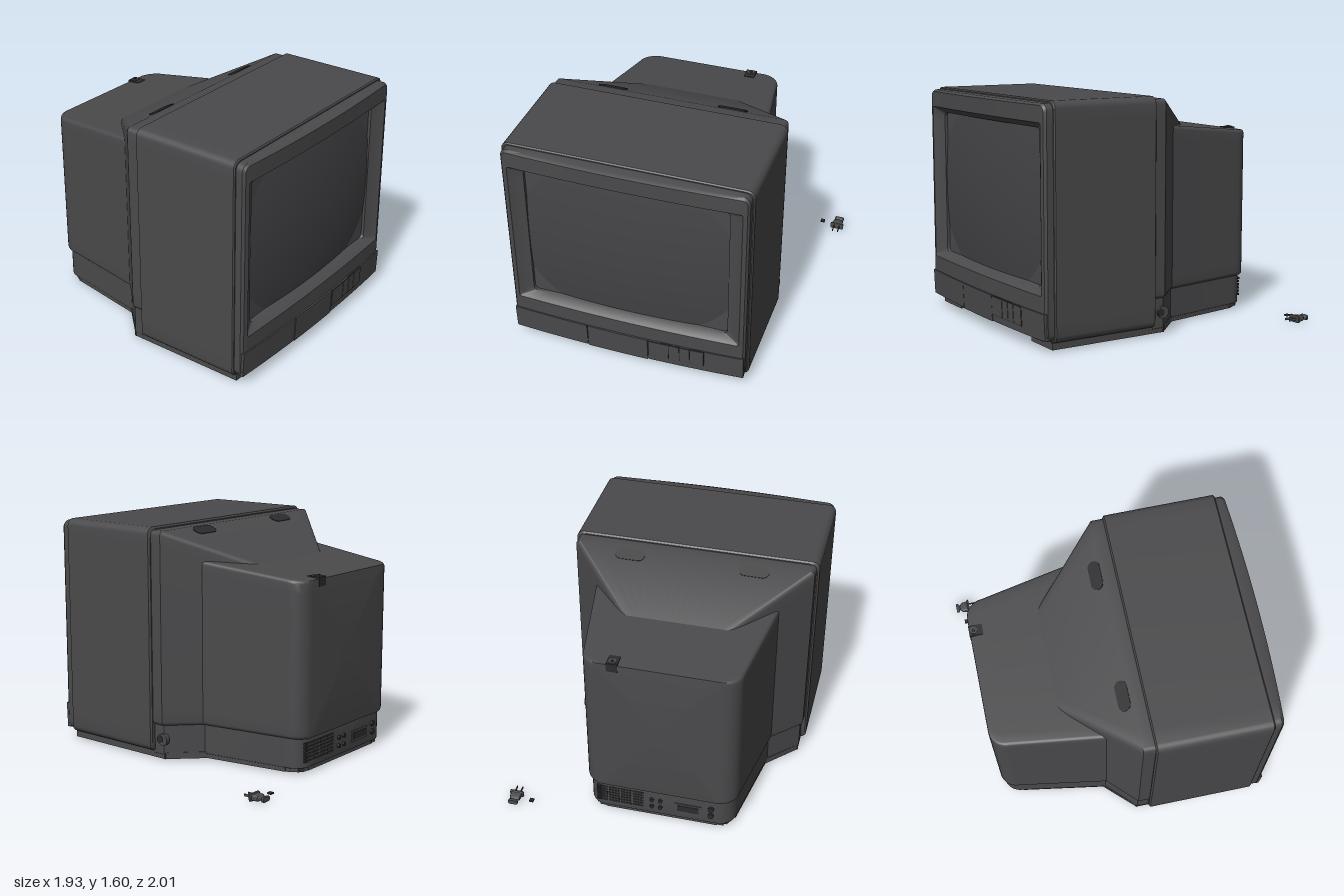
import * as THREE from 'three';
import { toCreasedNormals } from 'three/addons/utils/BufferGeometryUtils.js';

const CX = -0.12; // centre line of the set
const mat = (color) => new THREE.MeshStandardMaterial({ color, side: THREE.DoubleSide });
const casing = mat(0x4a4a4c), dark = mat(0x2c2c2e), glass = mat(0x444447);

// Rounded rectangle, anticlockwise, with subdivided straight sides
function ring(x0, x1, y0, y1, r, zAt) {
  const pts = [], corners = [[x1 - r, y0 + r, -90], [x1 - r, y1 - r, 0], [x0 + r, y1 - r, 90], [x0 + r, y0 + r, 180]];
  const arcs = corners.map(([cx, cy, a]) => Array.from({ length: 6 }, (_, k) => {
    const t = THREE.MathUtils.degToRad(a + k * 18);
    return [cx + r * Math.cos(t), cy + r * Math.sin(t)];
  }));
  arcs.forEach((arc, i) => {
    pts.push(...arc);
    const a = arc[5], b = arcs[(i + 1) % 4][0];
    for (let k = 1; k < 16; k++) pts.push([a[0] + (b[0] - a[0]) * k / 16, a[1] + (b[1] - a[1]) * k / 16]);
  });
  return pts.map(([x, y]) => [x, y, typeof zAt === 'function' ? zAt(x, y) : zAt]);
}

// Skin over rings ordered from back to front, with optional end caps
function loft(rings, capBack, capFront, crease = 0.6) {
  const n = rings[0].length, pos = rings.flat(2), idx = [];
  for (let i = 0; i < rings.length - 1; i++) for (let j = 0; j < n; j++) {
    const a = i * n + j, b = i * n + (j + 1) % n;
    idx.push(a, b, b + n, a, b + n, a + n);
  }
  const cap = (i, front) => {
    const c = pos.length / 3, m = [0, 0, 0];
    rings[i].forEach((p) => p.forEach((v, k) => { m[k] += v / n; }));
    pos.push(...m);
    for (let j = 0; j < n; j++) {
      const a = i * n + j, b = i * n + (j + 1) % n;
      idx.push(c, front ? a : b, front ? b : a);
    }
  };
  if (capBack) cap(0, false);
  if (capFront) cap(rings.length - 1, true);
  const g = new THREE.BufferGeometry();
  g.setAttribute('position', new THREE.Float32BufferAttribute(pos, 3));
  g.setIndex(idx);
  return toCreasedNormals(g, crease);
}

const bulge = (x) => 0.03 * (1 - ((x - CX) / 0.83) ** 2);
const hoodTop = (z) => 1.58 - Math.max(0, 0.05 - z) * 0.495;
const tubeTop = (z) => 1.38 + (z + 0.14) * 0.107;

export function createModel() {
  const root = new THREE.Group();
  const add = (name, geo, m = casing, x = 0, y = 0, z = 0) => {
    const mesh = new THREE.Mesh(geo, m);
    mesh.name = name;
    mesh.position.set(x, y, z);
    root.add(mesh);
    return mesh;
  };
  const box = (name, x0, x1, y0, y1, z0, z1, m) => add(name,
    new THREE.BoxGeometry(x1 - x0, y1 - y0, z1 - z0), m, (x0 + x1) / 2, (y0 + y1) / 2, (z0 + z1) / 2);
  const rod = (name, r, len, x, y, z, axis, m) => {
    const mesh = add(name, new THREE.CylinderGeometry(r, r, len, 20), m, x, y, z);
    if (axis === 'z') mesh.rotation.x = Math.PI / 2;
    if (axis === 'x') mesh.rotation.z = Math.PI / 2;
    return mesh;
  };

  // Main cabinet
  add('cabinet', loft([[0.13, 0.012], [0.14, 0], [0.892, 0], [0.9, 0.008]].map(([z, d]) =>
    ring(-0.965 + d, 0.725 - d, 0.06 + d, 1.6 - d, 0.05, z)), true, true));

  // Front bezel, sloping in to the picture tube
  add('bezel', loft([
    ring(-0.95, 0.71, 0.072, 1.585, 0.05, 0.88),
    ring(-0.95, 0.71, 0.072, 1.585, 0.05, (x) => 0.945 + 0.6 * bulge(x)),
    ring(-0.937, 0.697, 0.085, 1.572, 0.04, (x) => 0.962 + bulge(x)),
    ring(-0.905, 0.67, 0.37, 1.465, 0.015, (x) => 0.967 + bulge(x) * 0.8),
    ring(-0.895, 0.66, 0.378, 1.457, 0.015, (x) => 0.955 + bulge(x) * 0.8),
    ring(-0.815, 0.575, 0.41, 1.425, 0.03, (x) => 0.915 + bulge(x) * 0.5),
    ring(-0.81, 0.57, 0.415, 1.42, 0.03, 0.87),
  ]));

  // Domed screen
  const screen = new THREE.PlaneGeometry(1.42, 1.04, 24, 20);
  const sp = screen.attributes.position;
  for (let i = 0; i < sp.count; i++)
    sp.setZ(i, 0.955 - 0.045 * (sp.getX(i) / 0.71) ** 2 - 0.035 * (sp.getY(i) / 0.52) ** 2);
  screen.computeVertexNormals();
  add('screen', screen, glass, CX, 0.917, 0);

  // Curved control panels and buttons under the screen
  const panel = (name, x0, x1, y0, y1, front, m) => {
    const g = new THREE.BoxGeometry(x1 - x0, y1 - y0, 0.03, 12, 1, 1);
    g.translate((x0 + x1) / 2, (y0 + y1) / 2, front - 0.015);
    const p = g.attributes.position;
    for (let i = 0; i < p.count; i++) p.setZ(i, p.getZ(i) + bulge(p.getX(i)) - (0.27 - p.getY(i)) * 0.04);
    g.computeVertexNormals();
    add(name, g, m);
  };
  panel('leftPanel', -0.945, -0.403, 0.085, 0.262, 0.973);
  panel('controlDoor', -0.397, 0.037, 0.08, 0.262, 0.974);
  panel('rightPanel', 0.043, 0.705, 0.085, 0.262, 0.973);
  panel('buttonSurround', 0.043, 0.435, 0.13, 0.262, 0.975, dark);
  [[0.046, 0.186], [0.192, 0.262], [0.268, 0.335], [0.341, 0.432]].forEach(([a, b]) =>
    panel('button', a, b, 0.134, 0.258, 0.978));

  // Rear shells: a tapering hood and a deep tube housing, then the same plan lower down as a skirt
  const hood = (d, y0, top, r) => loft([[-0.42, 0.36], [0.05, 0.825], [0.14, 0.825]].map(([z, h]) =>
    ring(CX - h + d, CX + h - d, y0, top(z), r, z)), true, false, 0.5);
  const housing = (d, y0, top, r) => {
    const rings = [];
    for (let k = 0; k <= 8; k++) {
      const t = k * Math.PI / 16, h = 0.41 + 0.12 * Math.sin(t) - d, z = -0.77 - 0.12 * Math.cos(t) + d;
      const edge = k === 0 ? 0.015 : 0;
      rings.push(ring(CX - h, CX + h, y0 + edge, top(z) - edge, r, z));
    }
    rings.push(ring(CX - 0.65 + d, CX + 0.65 - d, y0, top(-0.02), r, -0.02));
    return loft(rings, true, false, 0.5);
  };
  add('rearHood', hood(0, 0.25, hoodTop, 0.03));
  add('tubeHousing', housing(0, 0.25, tubeTop, 0.025));
  add('hoodSkirt', hood(0.018, 0.045, () => 0.3, 0.006));
  add('housingSkirt', housing(0.018, 0.045, () => 0.3, 0.006));

  // Hand slots in the hood
  const slot = new THREE.Shape();
  slot.absarc(0.06, 0, 0.043, -Math.PI / 2, Math.PI / 2);
  slot.absarc(-0.06, 0, 0.043, Math.PI / 2, Math.PI * 1.5);
  for (const s of [-1, 1]) {
    const m = add('handSlot', new THREE.ExtrudeGeometry(slot, { depth: 0.004, bevelEnabled: false }), dark,
      CX + s * 0.427, hoodTop(0), 0);
    m.rotation.x = -(Math.PI / 2 + Math.atan(0.495));
  }

  // Aerial socket in the top rear edge
  box('aerialRecess', 0.15, 0.225, 1.25, 1.313, -0.893, -0.8, dark);
  rod('aerialSocket', 0.026, 0.03, 0.188, 1.303, -0.862, 'y');
  rod('aerialPin', 0.011, 0.04, 0.188, 1.303, -0.862, 'y', dark);

  // Vents and connectors on the lower back
  for (let i = 0; i < 4; i++) for (let j = 0; j < 6; j++)
    box('vent', 0.0 + i * 0.085, 0.075 + i * 0.085, 0.085 + j * 0.024, 0.099 + j * 0.024, -0.875, -0.86, dark);
  for (let i = 0; i < 4; i++)
    rod('jack', 0.014, 0.025, -0.06 - (i % 2) * 0.06, 0.11 + Math.floor(i / 2) * 0.06, -0.874, 'z', dark);
  box('videoConnector', -0.41, -0.22, 0.095, 0.175, -0.878, -0.86);
  box('videoConnectorInset', -0.39, -0.24, 0.11, 0.16, -0.881, -0.86, dark);
  for (const y of [0.115, 0.175]) rod('roundSocket', 0.02, 0.03, -0.475, y, -0.872, 'z', dark);

  // Cable exit on the side
  rod('cableExit', 0.042, 0.03, 0.685, 0.155, 0.055, 'x');
  rod('cableHole', 0.026, 0.036, 0.685, 0.155, 0.075, 'x', dark);

  // Rim and ribs under the base
  const bar = (x0, z0, x1, z1) => {
    const m = add('baseRim', new THREE.BoxGeometry(0.025, 0.045, Math.hypot(x1 - x0, z1 - z0) + 0.02), casing,
      (x0 + x1) / 2, 0.0375, (z0 + z1) / 2);
    m.rotation.y = Math.atan2(x1 - x0, z1 - z0);
  };
  const half = [[0.79, 0.89], [0.79, 0.05], [0.59, -0.16], [0.495, -0.74], [0.45, -0.82], [0.38, -0.845]];
  for (const s of [-1, 1]) {
    for (let i = 0; i < half.length - 1; i++)
      bar(CX + s * half[i][0], half[i][1], CX + s * half[i + 1][0], half[i + 1][1]);
    const x = CX + s * 0.655;
    box('frontFoot', x - 0.13, x + 0.13, 0.015, 0.07, 0.8, 0.9);
    box('rearFoot', CX + s * 0.38 - 0.06, CX + s * 0.38 + 0.06, 0.015, 0.06, -0.85, -0.78);
  }
  bar(-0.5, -0.845, 0.26, -0.845);
  bar(-0.91, 0.14, 0.67, 0.14);
  bar(-0.67, -0.3, 0.43, -0.3);
  bar(CX, -0.3, CX, 0.14);
  box('basePanel', -0.9, 0.66, 0.045, 0.065, 0.14, 0.89, dark);

  // Loose mains plug and small terminal beside the set
  const plugProfile = [[-1, 0.034], [-0.985, 0.034], [-0.972, 0.018], [-0.955, 0.036], [-0.915, 0.04], [-0.91, 0.05], [-0.9, 0.05]];
  const plugRings = plugProfile.map(([z, h]) => ring(0.915 - h, 0.915 + h, 0.028 - h * 0.5, 0.028 + h * 0.5, 0.012, z));
  add('plugBody', loft(plugRings, true, true));
  for (const x of [0.895, 0.935]) box('plugPin', x - 0.003, x + 0.003, 0.02, 0.036, -0.9, -0.84);
  box('terminal', 0.78, 0.81, 0.017, 0.028, -0.955, -0.925, dark);

  // Bring the lowest point to the ground
  const bounds = new THREE.Box3().setFromObject(root);
  root.children.forEach((c) => { if (c.name === 'plugBody') c.position.y = Math.max(0, -bounds.min.y); });
  return root;
}
